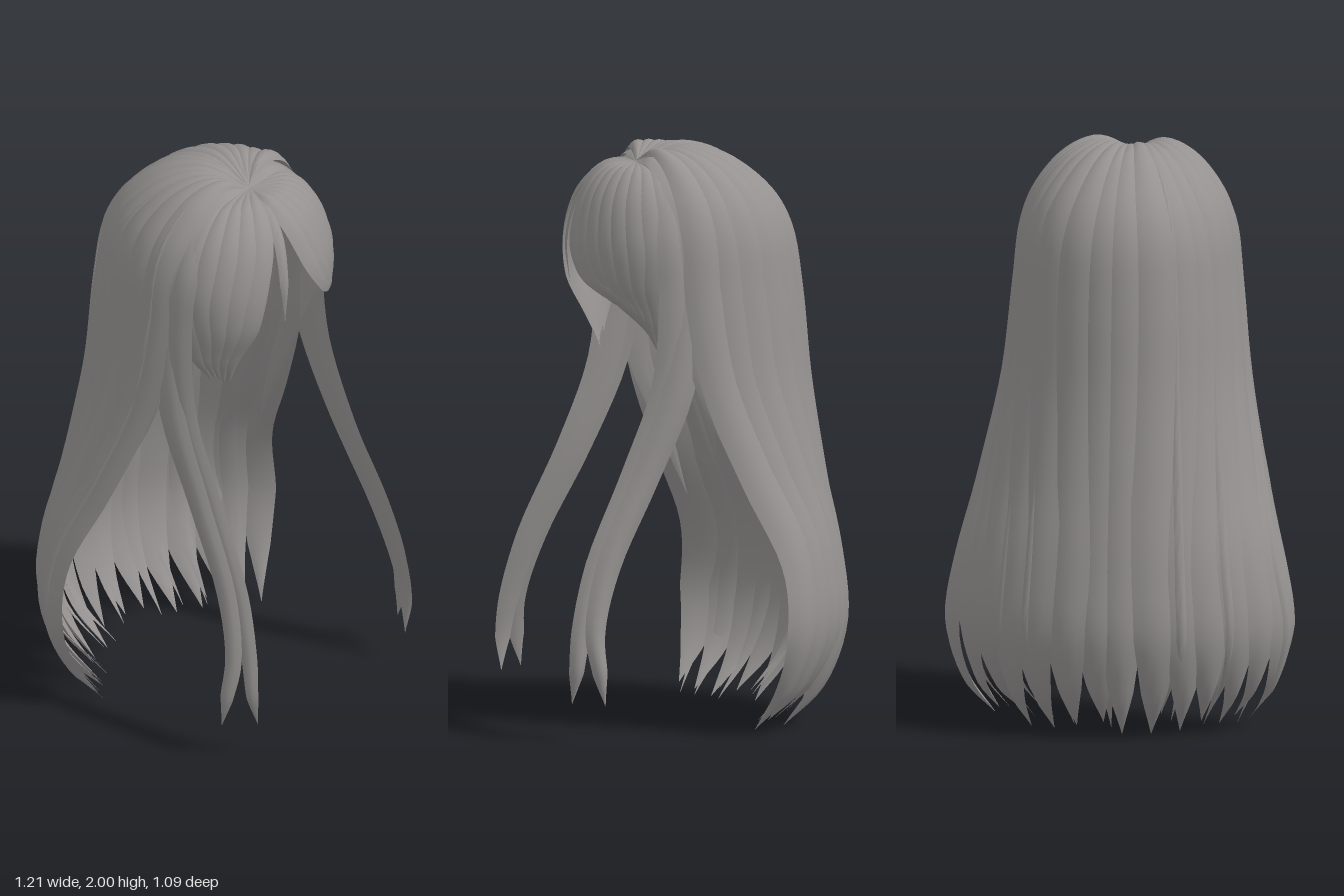
import * as THREE from 'three';
import { toCreasedNormals } from 'three/addons/utils/BufferGeometryUtils.js';

const hairGrey = new THREE.MeshStandardMaterial({ color: 0x969292 });
hairGrey.name = 'hairGrey';

const V = (x, y, z) => new THREE.Vector3(x, y, z);
const lerp = THREE.MathUtils.lerp;
const APEX = V(0, 1.94, 0.17);

let seed = 7;
const jitter = (amount) => {
  seed = (seed * 16807) % 2147483647;
  return (seed / 2147483647 - 0.5) * 2 * amount;
};

// Directions the broad face of a lock looks towards
const radial = (p) => V(p.x, Math.max(0, p.y - 1.5), p.z - 0.05);
const sideways = (p) => V(p.x, Math.max(0, p.y - 1.5), 0);

// One lock: a sharp-edged lens swept along a curve; widths are half widths per point
function lock(name, points, widths, thick, facing = radial) {
  const curve = new THREE.CatmullRomCurve3(points, false, 'centripetal');
  const steps = (points.length - 1) * 5, half = 5, ring = half * 2;
  const pos = [], index = [];
  for (let i = 0; i <= steps; i++) {
    const t = i / steps, k = t * (points.length - 1);
    const k0 = Math.min(Math.floor(k), points.length - 2);
    const w = lerp(widths[k0], widths[k0 + 1], k - k0);
    const c = curve.getPoint(t), T = curve.getTangent(t);
    const out = facing(c);
    out.addScaledVector(T, -out.dot(T)).normalize();
    const side = V().crossVectors(T, out);
    const h = thick * Math.min(1, w / 0.03);
    for (let j = 0; j < ring; j++) {
      const outer = j < half;
      const u = outer ? -1 + (2 * j) / half : 1 - (2 * (j - half)) / half;
      const lift = (1 - u * u) * h * (outer ? 1 : -0.25);
      const p = c.clone().addScaledVector(side, u * Math.max(w, 0.0008)).addScaledVector(out, lift);
      pos.push(p.x, p.y, p.z);
    }
  }
  for (let i = 0; i < steps; i++) {
    for (let j = 0; j < ring; j++) {
      const a = i * ring + j, b = i * ring + ((j + 1) % ring);
      index.push(a, b, b + ring, a, b + ring, a + ring);
    }
  }
  const geo = new THREE.BufferGeometry();
  geo.setAttribute('position', new THREE.Float32BufferAttribute(pos, 3));
  geo.setIndex(index);
  const mesh = new THREE.Mesh(toCreasedNormals(geo, 0.9), hairGrey);
  mesh.name = name;
  return mesh;
}

// Crown (fraction out from the parting, height) and fall (height, fraction towards the hem)
const CROWN = [[0, 1.94], [0.28, 1.978], [0.55, 1.94], [0.8, 1.83], [0.92, 1.71], [0.985, 1.5]];
const FALL = [[1.2, 0.14], [0.9, 0.45], [0.6, 0.8], [0.36, 1]];

// Path over the head for an angle: 0 = model's left side, 90 = back, 180 = right side
function fallPath(deg, swell, tipY, tipIn) {
  const a = THREE.MathUtils.degToRad(deg);
  const b = THREE.MathUtils.degToRad(26 + (deg / 180) * 128);
  const flank = Math.abs(Math.cos(a));
  const edge = V(0.385 * Math.cos(a), 0, 0.05 - 0.45 * Math.sin(a));
  const hem = V(0.635 * Math.cos(b), 0, -0.525 * Math.sin(b));
  const pts = CROWN.map(([f, y]) =>
    V(edge.x * f * swell, y + (swell - 1) * 0.4, lerp(APEX.z, edge.z * swell, f)));
  for (const [y, g] of FALL) {
    const gz = Math.min(1.02, g * (1 + 0.25 * flank));
    pts.push(V(lerp(edge.x, hem.x, g) * swell, y, lerp(edge.z, hem.z, gz) * swell));
  }
  const tipZ = tipIn * (1 - 0.35 * flank);
  pts.push(V(hem.x * swell * lerp(1, tipIn, 0.32), lerp(0.36, tipY, 0.55), hem.z * swell * lerp(1, tipZ, 0.32)));
  pts.push(V(hem.x * swell * tipIn, tipY, hem.z * swell * tipZ));
  return pts;
}

// Path on the fringe dome from [azimuth from the front, height] pairs
function domePath(list) {
  return [APEX.clone(), ...list.map(([deg, y]) => {
    const th = THREE.MathUtils.degToRad(deg);
    const r = y > 1.6 ? Math.pow(1 - Math.pow((y - 1.6) / 0.355, 2.4), 0.46) : 1 - (1.6 - y) * 0.2;
    const tuck = Math.max(0, 1.54 - y) * 0.35;
    return V(0.345 * Math.sin(th) * r, y, 0.14 + 0.265 * Math.cos(th) * r - tuck);
  })];
}

export function createModel() {
  const model = new THREE.Group();
  model.name = 'longHair';
  const group = (name) => {
    const g = new THREE.Group();
    g.name = name;
    model.add(g);
    return g;
  };

  // Long curtain round the sides and back, split into pointed locks at the hem
  const curtain = group('backCurtain');
  const count = 14;
  for (let i = 0; i < count; i++) {
    const end = i % (count - 1) === 0;
    const deg = 1 + (178 * i) / (count - 1) + (end ? 0 : jitter(2));
    const w = 0.076 + jitter(0.006);
    const shape = [0.03, 0.36, 0.64, 0.88, 0.97, 1, 1.02, 1.02, 1.04, 0.97, 0.58, 0].map((s) => s * w);
    const path = fallPath(deg, 1 + jitter(0.014), 0.03 + jitter(0.03), 0.8 + jitter(0.06));
    curtain.add(lock('backLock', path, shape, 0.02));
  }

  // A few slim split ends inside the hem
  for (let i = 0; i < 7; i++) {
    const path = fallPath(12 + 26 * i + jitter(4), 0.975, 0.04 + jitter(0.03), 0.76 + jitter(0.05)).slice(6);
    curtain.add(lock('splitEnd', path, [0, 0.02, 0.03, 0.032, 0.02, 0], 0.01));
  }

  // Thin loose strands lying over the curtain
  const loose = group('looseStrands');
  for (const [deg, swell, tipY] of [[178, 1.035, 0.02], [145, 1.025, 0.05], [122, 1.03, 0.04], [53, 1.03, 0.04], [39, 1.025, 0.03]]) {
    const shape = [0, 0.002, 0.007, 0.011, 0.013, 0.015, 0.017, 0.02, 0.021, 0.019, 0.013, 0];
    loose.add(lock('looseStrand', fallPath(deg, swell, tipY, 0.75), shape, 0.014));
  }

  // Long locks falling forward on each side of the face
  for (const s of [1, -1]) {
    const g = group(s > 0 ? 'leftSideLocks' : 'rightSideLocks');
    const top = [[0.15, 1.922, 0.15], [0.265, 1.845, 0.14], [0.335, 1.72, 0.135], [0.362, 1.5, 0.125]];
    const ends = [
      [[0.368, 1.2, 0.175], [0.37, 0.9, 0.295], [0.395, 0.6, 0.435], [0.42, 0.38, 0.5], [0.428, 0.24, 0.52], [0.41, 0.13, 0.53]],
      [[0.385, 1.2, 0.14], [0.395, 0.9, 0.262], [0.425, 0.6, 0.405], [0.46, 0.38, 0.462], [0.485, 0.24, 0.452], [0.49, 0.13, 0.435]],
    ];
    ends.forEach((end, k) => {
      const pts = [APEX.clone(), ...[...top, ...end].map(([x, y, z], n) =>
        V(s * x, y, z + (n < 4 ? (k ? -0.03 : 0.012) * (n / 3) : 0)))];
      const shape = [0.003, 0.035, 0.055, 0.065, 0.068, 0.058, 0.05, 0.044, 0.036, 0.027, 0];
      g.add(lock('sideLock', pts, shape, 0.022, sideways));
    });
    // Lock over the temple, joining the side locks to the curtain
    const temple = [[0.13, 1.95, 0.135], [0.265, 1.87, 0.1], [0.345, 1.73, 0.075], [0.378, 1.5, 0.06],
      [0.395, 1.25, 0.05], [0.43, 0.95, -0.06], [0.48, 0.7, -0.16]];
    g.add(lock('templeLock', [APEX.clone(), ...temple.map(([x, y, z]) => V(s * x, y, z))],
      [0.003, 0.045, 0.065, 0.07, 0.065, 0.045, 0.025, 0], 0.014, sideways));
  }

  // Swept fringe: each side blends from the parting edge to the temple edge
  const fringe = group('fringe');
  const sweep = (name, inner, outer, n, w) => {
    for (let i = 0; i < n; i++) {
      const u = i / (n - 1);
      const list = inner.map(([d, y], k) => [lerp(d, outer[k][0], u), lerp(y, outer[k][1], u) + (k > 4 ? jitter(0.015) : 0)]);
      const shape = [0.003, 0.6, 0.85, 1, 1, 0.7, 0].map((f) => f * w);
      fringe.add(lock(name, domePath(list), shape, 0.016));
    }
  };
  sweep('leftFringeLock',
    [[-2, 1.92], [2, 1.85], [10, 1.71], [23, 1.61], [41, 1.54], [60, 1.44]],
    [[80, 1.91], [82, 1.83], [83, 1.69], [80, 1.55], [74, 1.42], [62, 1.28]], 8, 0.058);
  sweep('rightFringeLock',
    [[-25, 1.92], [-29, 1.83], [-37, 1.68], [-43, 1.54], [-45, 1.41], [-39, 1.26]],
    [[-80, 1.91], [-82, 1.82], [-82, 1.68], [-78, 1.53], [-68, 1.42], [-54, 1.32]], 5, 0.054);

  // Small strand hanging at the parting
  fringe.add(lock('partingStrand', domePath([[-12, 1.91], [-14, 1.82], [-15, 1.67], [-13, 1.52]]),
    [0.002, 0.018, 0.022, 0.018, 0], 0.012));

  return model;
}
